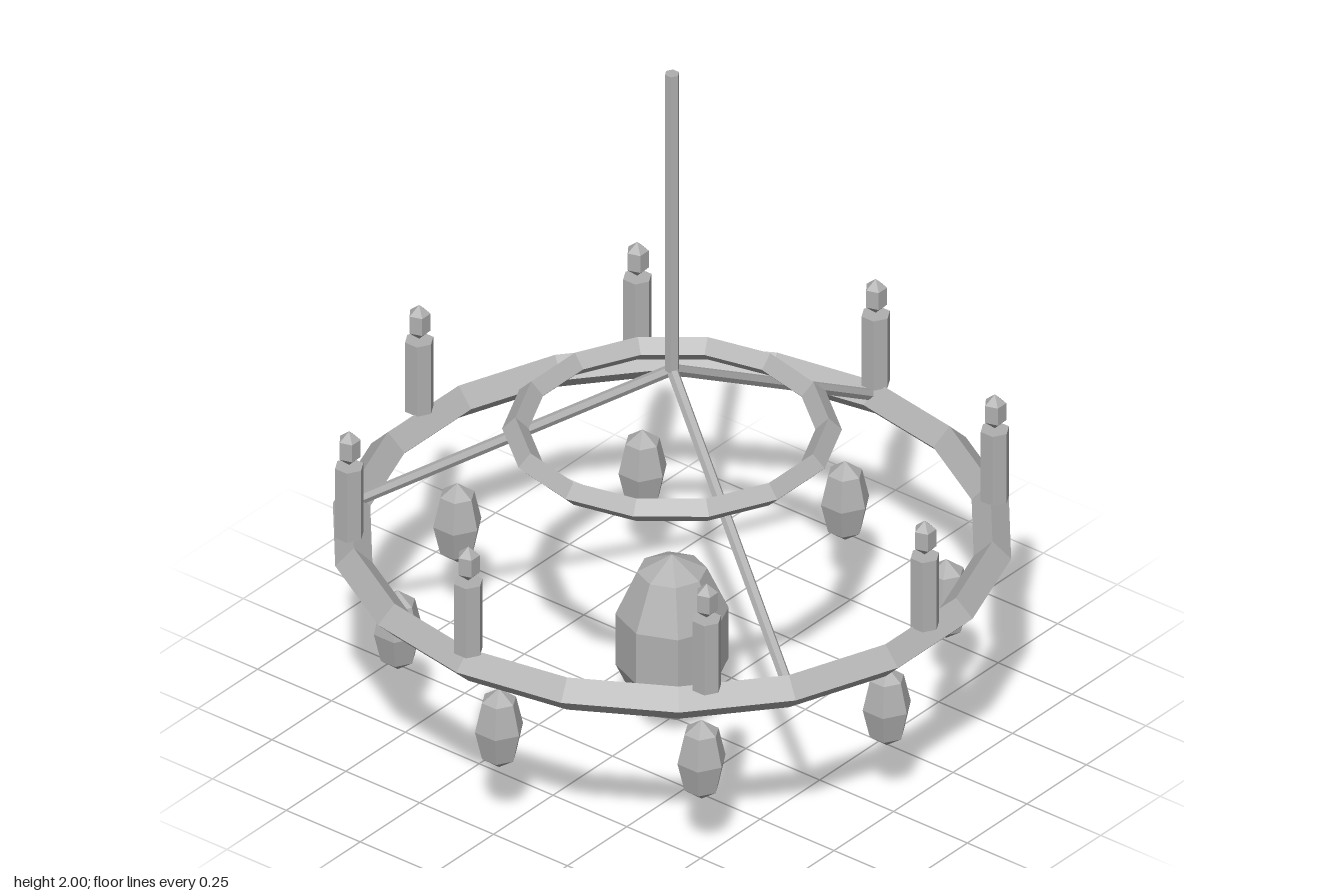
import * as THREE from 'three';

export function createModel() {
  const model = new THREE.Group();
  const iron = new THREE.MeshStandardMaterial({ color: 0xb0b0b0 });

  function add(name, geometry, x = 0, y = 0, z = 0) {
    const flat = geometry.index ? geometry.toNonIndexed() : geometry;
    flat.computeVertexNormals(); // faceted look
    const mesh = new THREE.Mesh(flat, iron);
    mesh.name = name;
    mesh.position.set(x, y, z);
    model.add(mesh);
    return mesh;
  }

  // Horizontal hoop with a diamond cross-section
  const hoop = (radius, tube, sides) =>
    new THREE.TorusGeometry(radius, tube, 4, sides).rotateX(Math.PI / 2);

  // Faceted drop, stretched upright, with its first edge facing the back
  const drop = (radius, sides, rows, stretch) =>
    new THREE.SphereGeometry(radius, sides, rows).rotateY(-Math.PI / 2).scale(1, stretch, 1);

  // Straight bar between two points
  function bar(name, from, to, radius) {
    const along = to.clone().sub(from);
    const mesh = add(name, new THREE.CylinderGeometry(radius, radius, along.length(), 6));
    mesh.position.copy(from).addScaledVector(along, 0.5);
    mesh.quaternion.setFromUnitVectors(new THREE.Vector3(0, 1, 0), along.normalize());
  }

  // Hoops
  add('outerRing', hoop(0.855, 0.05, 18), 0, 0.578, 0);
  add('innerRing', hoop(0.413, 0.035, 14), 0, 0.895, 0);

  // Hanging rod and three sloping arms
  const hub = new THREE.Vector3(0, 1.08, 0);
  bar('hangingRod', hub, new THREE.Vector3(0, 2, 0), 0.02);
  for (let i = 0; i < 3; i++) {
    const a = (i / 3) * Math.PI * 2;
    bar('arm', hub, new THREE.Vector3(0.855 * Math.cos(a), 0.585, 0.855 * Math.sin(a)), 0.016);
  }

  // Candles, flames and small hanging crystals
  for (let i = 0; i < 8; i++) {
    const a = (i / 8) * Math.PI * 2, c = Math.cos(a), s = Math.sin(a);
    add('candle', new THREE.CylinderGeometry(0.04, 0.04, 0.215, 6), 0.856 * c, 0.73, 0.856 * s);
    add('flame', drop(0.035, 5, 3, 1.5), 0.856 * c, 0.893, 0.856 * s);
    add('crystal', drop(0.068, 6, 4, 1.8), 0.727 * c, 0.32, 0.727 * s);
  }

  // Large central crystal
  add('centralCrystal', drop(0.158, 8, 5, 1.6), 0, 0.2528, 0);

  return model;
}
